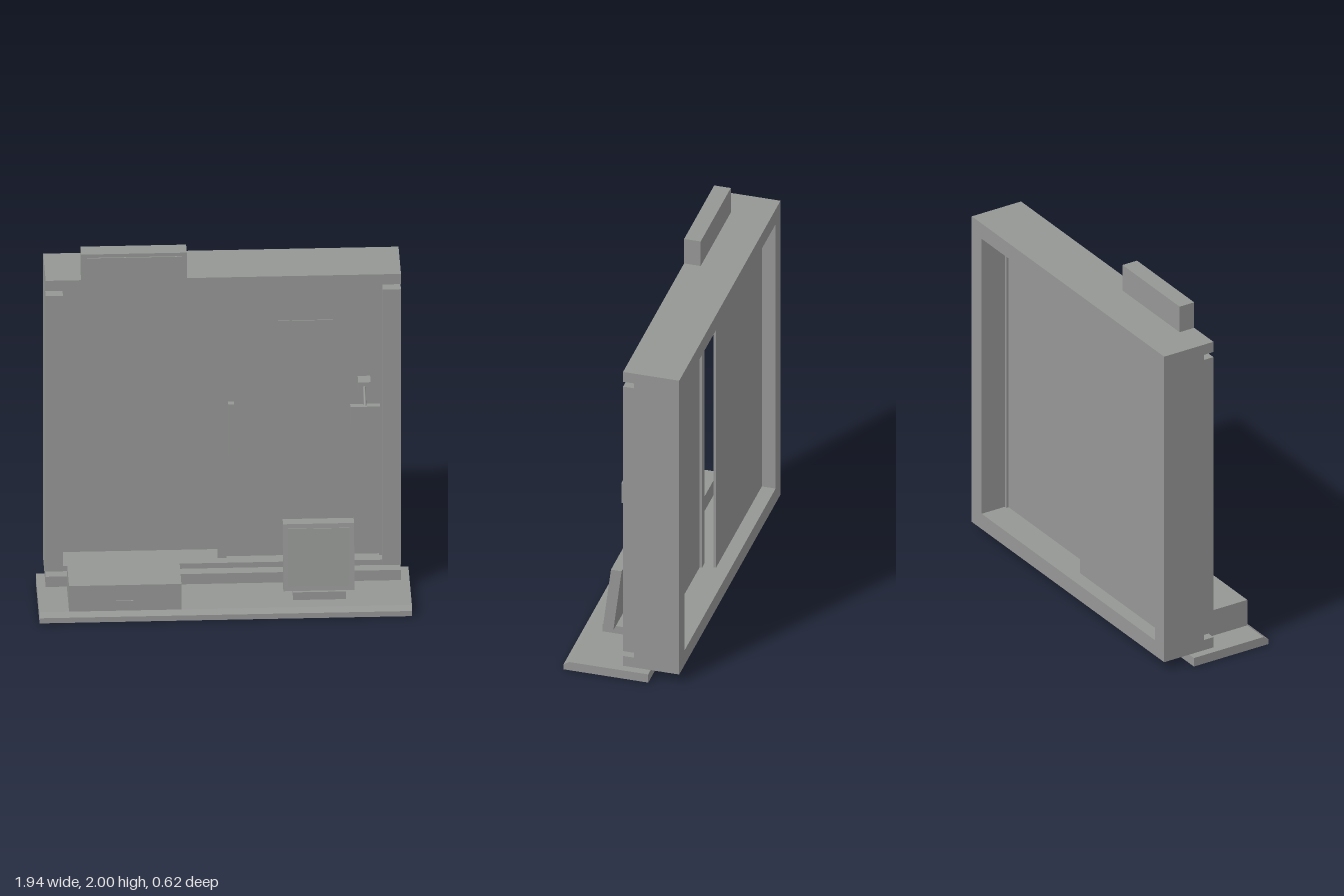
import * as THREE from 'three';

export function createModel() {
  const model = new THREE.Group();
  model.name = 'slidingDoorEntrance';
  const grey = new THREE.MeshStandardMaterial({ color: 0x959795 });
  grey.name = 'grey';

  function add(name, geometry) {
    const mesh = new THREE.Mesh(geometry, grey);
    mesh.name = name;
    model.add(mesh);
    return mesh;
  }
  // Box given by its limits on each axis
  function box(name, [x0, x1], [y0, y1], [z0, z1]) {
    const g = new THREE.BoxGeometry(x1 - x0, y1 - y0, z1 - z0);
    g.translate((x0 + x1) / 2, (y0 + y1) / 2, (z0 + z1) / 2);
    return add(name, g);
  }
  // Side profile of [z, y] points, extruded along x
  function profile(name, [x0, x1], points) {
    const shape = new THREE.Shape(points.map(([z, y]) => new THREE.Vector2(z, y)));
    const g = new THREE.ExtrudeGeometry(shape, { depth: x1 - x0, bevelEnabled: false });
    g.rotateY(-Math.PI / 2);
    g.translate(x1, 0, 0);
    return add(name, g);
  }

  // Floor slab with a chamfered front edge
  profile('floorSlab', [-0.97, 0.97], [[-0.15, 0], [0.31, 0], [0.31, 0.03], [0.28, 0.05], [-0.15, 0.05]]);

  // Door frame: header and sill have a groove along the front
  const W = [-0.925, 0.925], back = -0.305, groove = -0.06;
  profile('header', W, [[back, 1.76], [groove, 1.76], [groove, 1.79], [0, 1.79], [0, 1.85], [back, 1.85]]);
  profile('sill', W, [[back, 0.05], [0, 0.05], [0, 0.11], [groove, 0.11], [groove, 0.14], [back, 0.14]]);
  box('rightJamb', [-0.925, -0.835], [0.14, 1.76], [back, 0]);
  box('leftJamb', [0.83, 0.925], [0.14, 1.76], [back, 0]);

  // Fixed rear panel and sliding front panel with its stiles
  box('rearPanel', [-0.835, 0.0], [0.14, 1.76], [-0.23, -0.215]);
  box('frontPanel', [0.0, 0.83], [0.14, 1.76], [-0.147, -0.133]);
  box('meetingStile', [-0.025, 0.02], [0.14, 1.76], [-0.16, -0.115]);
  box('sideStile', [0.815, 0.83], [0.14, 1.76], [-0.16, -0.115]);
  box('doorHandle', [0.03, 0.06], [0.74, 1.05], [-0.133, -0.1]);
  box('doorNotice', [0.29, 0.577], [1.39, 1.52], [-0.133, -0.128]);

  // Sign box above the header
  box('signBox', [-0.74, -0.19], [1.85, 2.0], [-0.09, 0]);
  box('signFace', [-0.71, -0.215], [1.87, 1.98], [0, 0.006]);

  // Crate on the floor with a small label
  box('crate', [-0.815, -0.23], [0.05, 0.2], [0, 0.28]);
  box('crateLabel', [-0.57, -0.48], [0.08, 0.11], [0.28, 0.286]);

  // Leaning board on a foot
  box('boardFoot', [0.355, 0.63], [0.05, 0.095], [0.02, 0.2]);
  profile('leaningBoard', [0.305, 0.675], [[0.127, 0.095], [0.185, 0.095], [0.14, 0.465], [0.082, 0.465]]);
  profile('boardFace', [0.33, 0.65], [[0.18, 0.12], [0.185, 0.12], [0.147, 0.44], [0.142, 0.44]]);

  // Hanging tag on a cord from a door bracket
  box('tagBracket', [0.705, 0.77], [1.125, 1.185], [-0.133, -0.06]);
  box('hangingTag', [0.66, 0.815], [0.975, 1.095], [0.008, 0.042]);
  const cord = new THREE.LineCurve3(new THREE.Vector3(0.737, 1.16, -0.065), new THREE.Vector3(0.737, 1.09, 0.03));
  add('tagCord', new THREE.TubeGeometry(cord, 1, 0.007, 8));

  return model;
}
